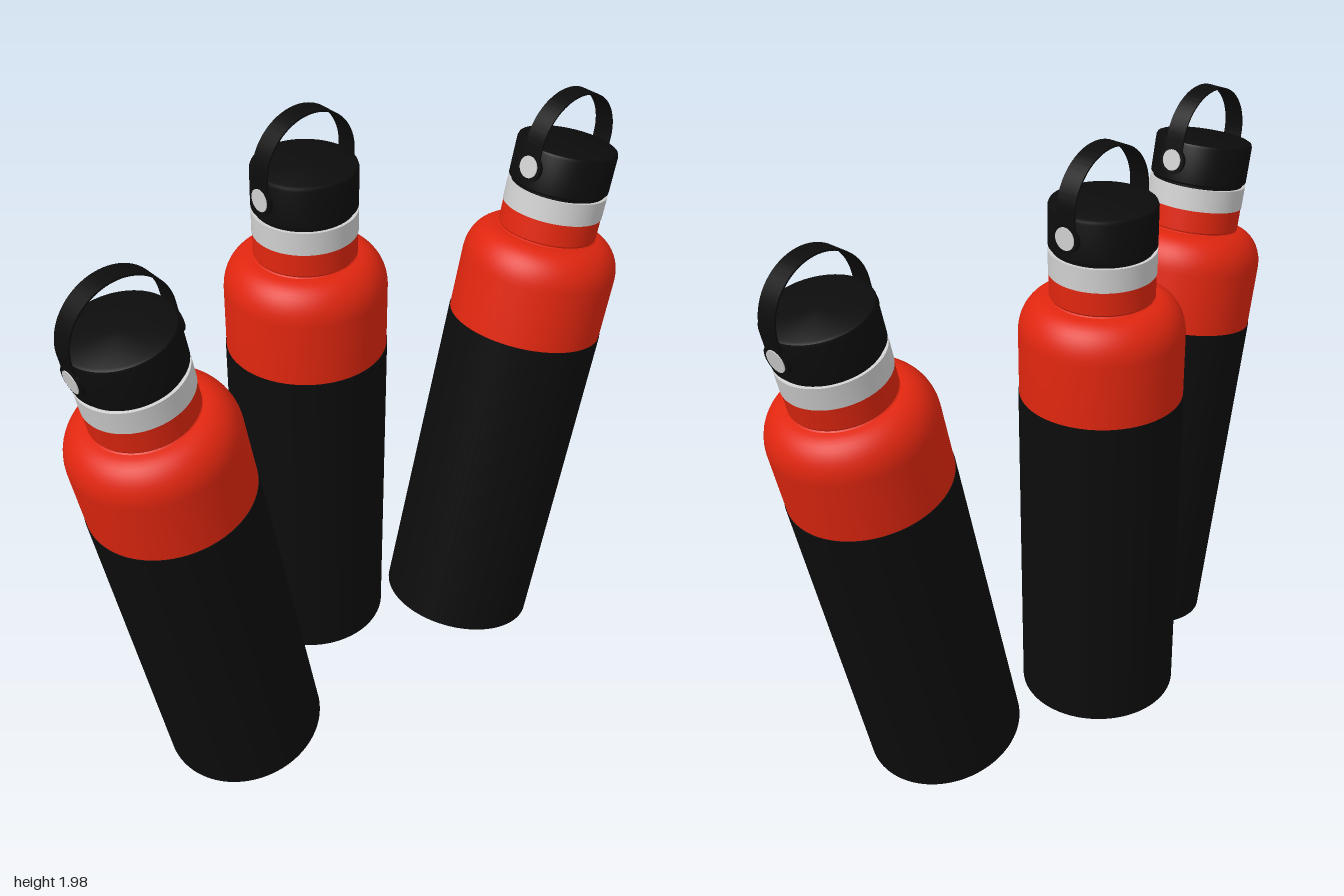
import * as THREE from 'three';
import { toCreasedNormals } from 'three/addons/utils/BufferGeometryUtils.js';

const material = (name, color) => {
  const m = new THREE.MeshStandardMaterial({ color });
  m.name = name;
  return m;
};

// Turned part from [radius, height] pairs, listed from bottom to top
function turned(points, segments = 72) {
  const profile = points.map(([r, y]) => new THREE.Vector2(r, y));
  return toCreasedNormals(new THREE.LatheGeometry(profile, segments), 0.5);
}

// Thin arched strap: straight sides with a half-round top
function strapGeometry(radius, thickness, bottom, spring, width) {
  const inner = radius - thickness;
  const shape = new THREE.Shape();
  shape.moveTo(radius, bottom);
  shape.lineTo(radius, spring);
  shape.absarc(0, spring, radius, 0, Math.PI, false);
  shape.lineTo(-radius, bottom);
  shape.lineTo(-inner, bottom);
  shape.lineTo(-inner, spring);
  shape.absarc(0, spring, inner, Math.PI, 0, true);
  shape.lineTo(inner, bottom);
  shape.closePath();
  const g = new THREE.ExtrudeGeometry(shape, { depth: width, bevelEnabled: false, curveSegments: 32 });
  g.translate(0, 0, -width / 2);
  return toCreasedNormals(g, 0.5);
}

export function createModel() {
  const red = material('red enamel', 0xe0260f);
  const black = material('black rubber', 0x0c0c0c);
  const silver = material('brushed steel', 0xcfcfcf);

  // Rounded shoulder and neck
  const shoulder = [];
  for (let i = 0; i <= 10; i++) {
    const a = (i / 10) * Math.PI / 2;
    shoulder.push([0.157 + 0.09 * Math.cos(a), 1.285 + 0.112 * Math.sin(a)]);
  }

  const parts = [
    ['base', turned([[0, 0.008], [0.205, 0.008], [0.212, 0.001], [0.247, 0.001]]), red],
    ['sleeve', turned([[0.246, 0], [0.249, 0], [0.249, 1.085], [0.245, 1.085]]), black],
    ['shoulder', turned([[0.247, 1.08], ...shoulder, [0.153, 1.4], [0.156, 1.405], [0.156, 1.475]]), red],
    ['neckRing', turned([[0.15, 1.475], [0.158, 1.475], [0.158, 1.547], [0.148, 1.547]]), silver],
    ['capSeat', turned([[0.148, 1.545], [0.148, 1.56]]), black],
    ['cap', turned([[0, 1.555], [0.152, 1.555], [0.158, 1.561], [0.158, 1.678],
      [0.155, 1.686], [0.147, 1.69], [0, 1.69]]), black],
    ['handleStrap', strapGeometry(0.162, 0.005, 1.61, 1.694, 0.066), black],
  ];
  const padGeometry = new THREE.CylinderGeometry(0.046, 0.046, 0.02, 32).rotateZ(Math.PI / 2);
  const buttonGeometry = new THREE.CylinderGeometry(0.034, 0.034, 0.016, 32).rotateZ(Math.PI / 2);

  function bottle(name) {
    const group = new THREE.Group();
    group.name = name;
    const add = (partName, geometry, mat, x = 0, y = 0) => {
      const mesh = new THREE.Mesh(geometry, mat);
      mesh.name = partName;
      mesh.position.set(x, y, 0);
      group.add(mesh);
    };
    for (const part of parts) add(...part);
    // Strap pivots on both sides of the cap
    for (const [side, s] of [['left', 1], ['right', -1]]) {
      add(side + 'StrapPad', padGeometry, black, s * 0.153, 1.625);
      add(side + 'PivotButton', buttonGeometry, silver, s * 0.158, 1.625);
    }
    return group;
  }

  // Upright bottle behind, two leaning outward in front: [name, x, y, z, lean in degrees]
  const model = new THREE.Group();
  model.name = 'bottleTrio';
  for (const [name, x, y, z, lean] of [
    ['centreBottle', -0.015, 0.125, -0.13, 0],
    ['rightBottle', -0.503, 0.066, 0.125, 11.1],
    ['leftBottle', 0.458, 0.055, 0.125, -12.6],
  ]) {
    const b = bottle(name);
    b.position.set(x, y, z);
    b.rotation.z = THREE.MathUtils.degToRad(lean);
    model.add(b);
  }
  return model;
}
